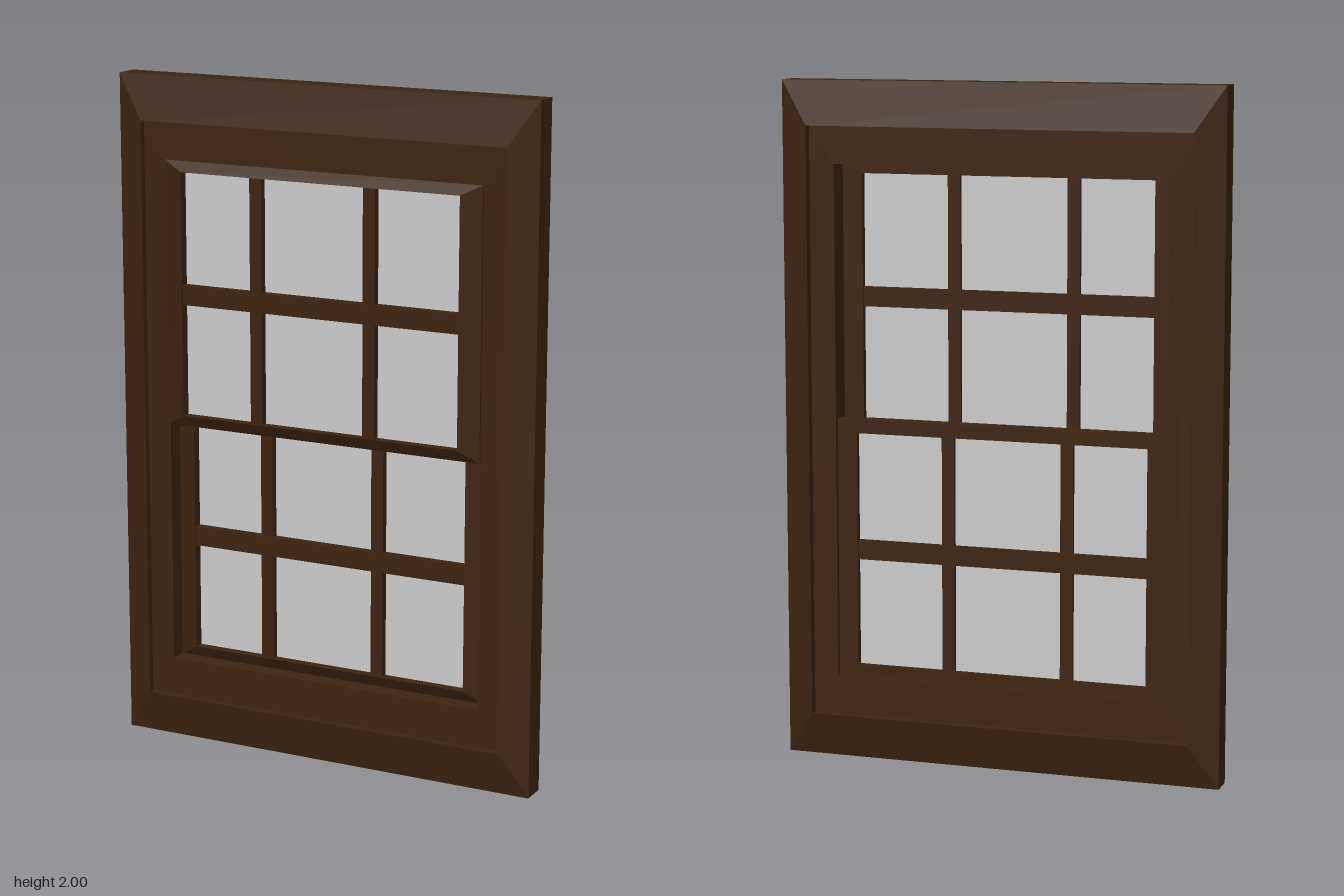
import * as THREE from 'three';

const wood = new THREE.MeshStandardMaterial({ color: 0x3d2410, flatShading: true });
const glass = new THREE.MeshStandardMaterial({ color: 0xcccccc, side: THREE.DoubleSide });

// Mitred rectangular frame swept through loops of [half width, bottom, top, z],
// listed from back outside, over the front, to the back inside
function frameGeometry(loops) {
  const pos = [];
  const corners = loops.map(([w, b, t, z]) => [[-w, b, z], [w, b, z], [w, t, z], [-w, t, z]]);
  corners.forEach((a, k) => {
    const b = corners[(k + 1) % corners.length];
    for (let i = 0; i < 4; i++) {
      const j = (i + 1) % 4;
      for (const p of [a[i], a[j], b[j], a[i], b[j], b[i]]) pos.push(...p);
    }
  });
  const g = new THREE.BufferGeometry();
  g.setAttribute('position', new THREE.Float32BufferAttribute(pos, 3));
  g.computeVertexNormals();
  return g;
}

function add(parent, name, geometry, material, x = 0, y = 0, z = 0) {
  const m = new THREE.Mesh(geometry, material);
  m.name = name;
  m.position.set(x, y, z);
  parent.add(m);
}

// One sash: bevelled frame, glass sheet, two vertical bars and one crossbar
function makeSash(name, { outer, inner, z, barY }) {
  const sash = new THREE.Group();
  sash.name = name;
  const [ob, ot] = outer, [ib, it] = inner;
  const [back, front] = z;
  const bevel = 0.02, mid = (back + front) / 2;
  add(sash, name + 'Frame', frameGeometry([
    [0.5, ob, ot, back],
    [0.5, ob, ot, front - bevel],
    [0.44, ib, it, front],
    [0.44, ib, it, back],
  ]), wood);
  const h = it - ib, cy = (it + ib) / 2;
  add(sash, name + 'Glass', new THREE.PlaneGeometry(0.88, h), glass, 0, cy, mid - 0.005);
  for (const x of [-0.2, 0.16]) {
    add(sash, name + 'VerticalBar', new THREE.BoxGeometry(0.038, h, 0.034), wood, x, cy, mid);
  }
  add(sash, name + 'Crossbar', new THREE.BoxGeometry(0.88, 0.058, 0.038), wood, 0, barY, mid);
  return sash;
}

export function createModel() {
  const model = new THREE.Group();
  model.name = 'sashWindow';

  // Casing with sloped faces front and back, stepping down to the inner jamb
  add(model, 'casing', frameGeometry([
    [0.66, 0, 2, -0.04],
    [0.66, 0, 2, 0.035],
    [0.575, 0.13, 1.87, 0.065],
    [0.575, 0.13, 1.87, 0.045],
    [0.5, 0.245, 1.76, 0.045],
    [0.5, 0.245, 1.76, -0.047],
    [0.575, 0.13, 1.87, -0.047],
    [0.575, 0.13, 1.87, -0.073],
  ]), wood);

  // Upper sash sits in front, lower sash slides behind it
  model.add(makeSash('upperSash', {
    outer: [0.975, 1.76], inner: [1.01, 1.73], z: [0.025, 0.072], barY: 1.37,
  }));
  model.add(makeSash('lowerSash', {
    outer: [0.245, 1.015], inner: [0.28, 0.975], z: [-0.035, 0.012], barY: 0.627,
  }));
  return model;
}
